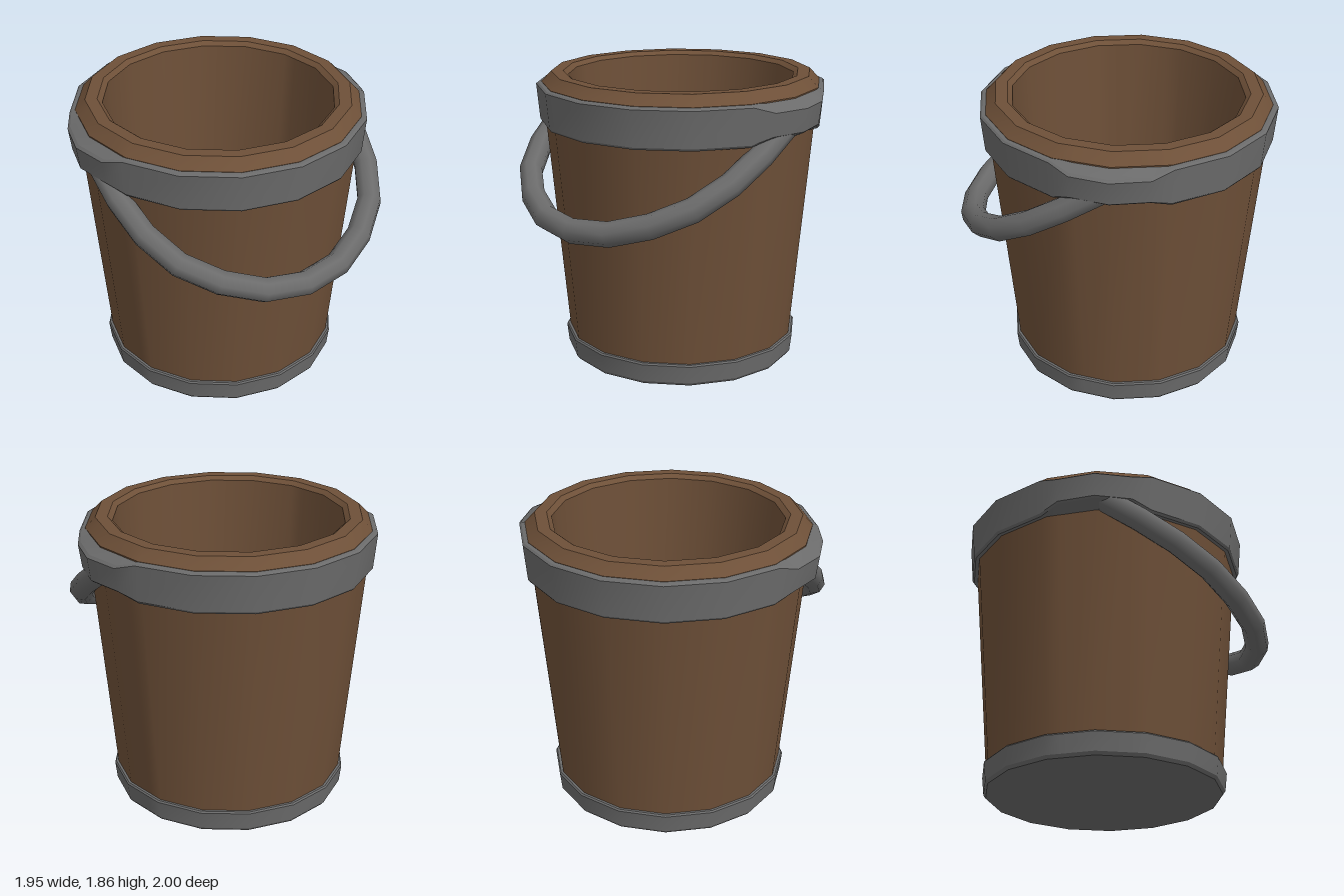
import * as THREE from 'three';
import { mergeGeometries } from 'three/addons/utils/BufferGeometryUtils.js';

const SIDES = 16;
const CENTRE_Z = -0.08;

// One 16-sided ring. Each flank gets two extra points so it can bulge into a
// lug: `bulge` (0..1) pushes it outward, `dy` shifts it up or down.
function ring([r, y, bulge = 0, dy = 0]) {
  const points = [];
  for (let k = 0; k < SIDES; k++) {
    const a = (k / SIDES) * Math.PI * 2;
    if (k % 8 !== 4) {
      points.push(new THREE.Vector3(r * Math.sin(a), y, r * Math.cos(a)));
      continue;
    }
    const s = k === 4 ? 1 : -1;
    for (const t of [1, 0, -1]) {
      const x = t ? r * 0.949 + 0.047 * bulge : r + 0.055 * bulge;
      points.push(new THREE.Vector3(s * x, y + dy, s * t * r * 0.255));
    }
  }
  return points;
}

// Smooth strip between two rings, closed around the axis
function strip(lower, upper) {
  const n = lower.length;
  const index = [];
  for (let i = 0; i < n; i++) {
    const j = (i + 1) % n;
    index.push(i, j, n + j, i, n + j, n + i);
  }
  const geometry = new THREE.BufferGeometry().setFromPoints([...lower, ...upper]);
  geometry.setIndex(index);
  geometry.computeVertexNormals();
  return geometry;
}

// Profile of [radius, y, bulge, dy]; every profile corner stays a sharp edge
function turned(name, profile, material) {
  const rings = profile.map(ring);
  const strips = rings.slice(1).map((upper, i) => strip(rings[i], upper));
  const mesh = new THREE.Mesh(mergeGeometries(strips), material);
  mesh.name = name;
  mesh.position.z = CENTRE_Z;
  return mesh;
}

export function createModel() {
  const wood = new THREE.MeshStandardMaterial({ color: 0x6e5038 });
  const metal = new THREE.MeshStandardMaterial({ color: 0x6b6b6b });
  const bucket = new THREE.Group();
  bucket.name = 'bucket';

  // Wooden wall: outside, bevelled rim, inside and floor
  bucket.add(turned('woodenBody', [
    [0.736, 0.05], [0.866, 1.54], [0.888, 1.79], [0.825, 1.855],
    [0.75, 1.855], [0.72, 1.83], [0.635, 0.14], [0, 0.14],
  ], wood));

  // Base hoop with closed underside
  bucket.add(turned('bottomHoop', [
    [0, 0], [0.74, 0], [0.755, 0.02], [0.768, 0.135], [0.76, 0.145], [0.735, 0.145],
  ], metal));

  // Upper hoop, swelling into a lug on each flank
  bucket.add(turned('topHoop', [
    [0.85, 1.535], [0.89, 1.535, 1, 0.045], [0.902, 1.55, 1, 0.04],
    [0.922, 1.775, 1, -0.04], [0.91, 1.785, 0.9, -0.035], [0.87, 1.79],
  ], metal));

  // Hanging handle: half of a mirrored path [x, y], lying in one tilted plane
  const half = [[0.265, 1.04], [0.495, 1.11], [0.69, 1.215], [0.81, 1.36], [0.85, 1.49], [0.86, 1.62]];
  const at = ([x, y]) => new THREE.Vector3(x, y, 0.92 - (y - 1.015) * 1.58);
  const path = new THREE.CatmullRomCurve3([
    ...half.map(([x, y]) => at([-x, y])).reverse(),
    at([0, 1.015]),
    ...half.map(at),
  ]);
  const handle = new THREE.Mesh(new THREE.TubeGeometry(path, 12, 0.077, 8), metal);
  handle.name = 'handle';
  bucket.add(handle);

  return bucket;
}
